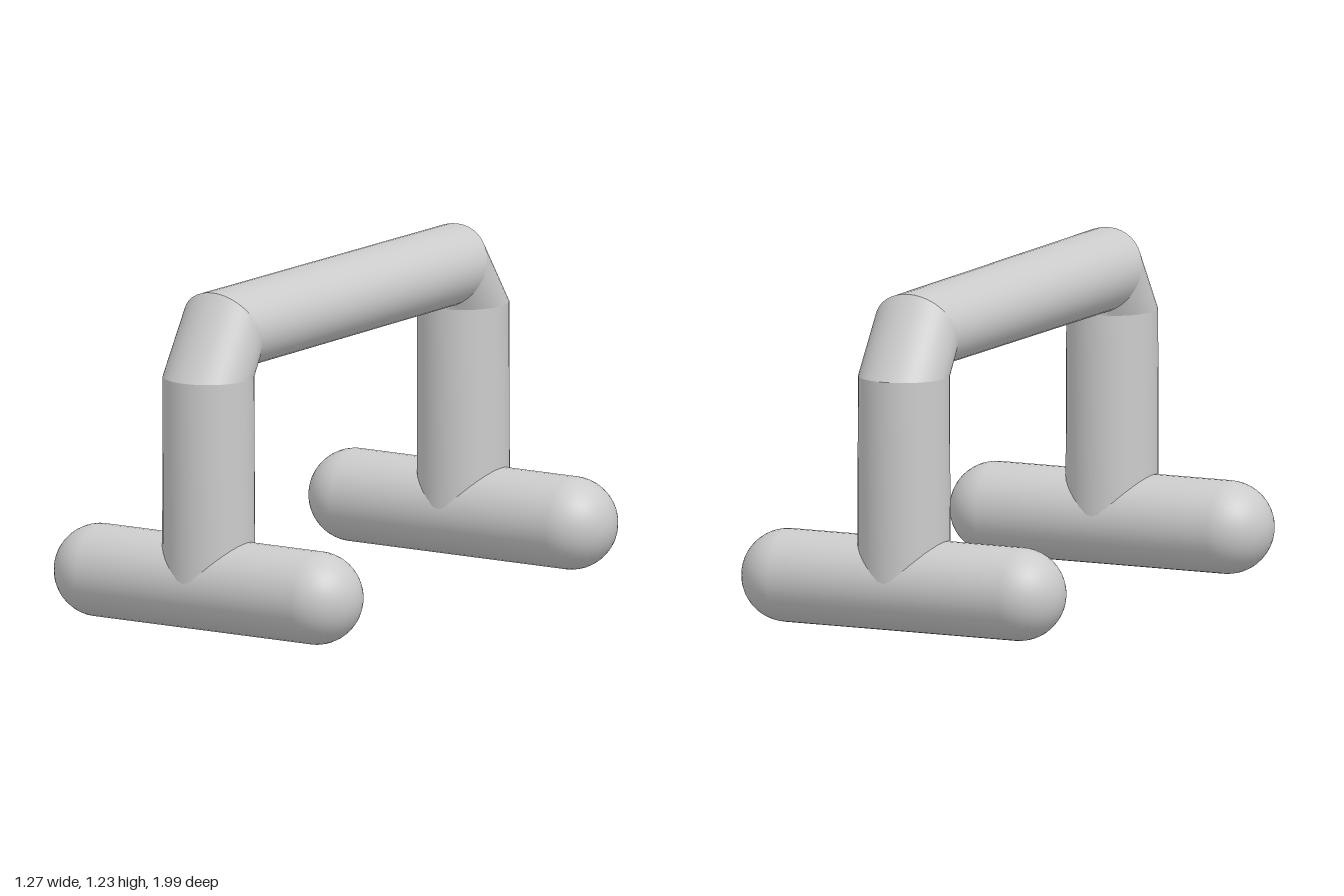
import * as THREE from 'three';

const material = new THREE.MeshStandardMaterial({ color: 0xcccccc });
const SIDES = 40;

// Elliptical ring in a plane containing x; a and b are its [y, z] extremes
function ring(a, b, halfWidth) {
  const points = [];
  for (let i = 0; i < SIDES; i++) {
    const t = (i / SIDES) * Math.PI * 2;
    const k = (1 - Math.cos(t)) / 2;
    points.push(halfWidth * Math.sin(t), a[0] + (b[0] - a[0]) * k, a[1] + (b[1] - a[1]) * k);
  }
  return points;
}

// Smooth wall between two rings; separate walls keep the mitre edges crisp
function wall(name, from, to) {
  const index = [];
  for (let i = 0; i < SIDES; i++) {
    const j = (i + 1) % SIDES;
    index.push(i, j, SIDES + i, j, SIDES + j, SIDES + i);
  }
  const geometry = new THREE.BufferGeometry();
  geometry.setAttribute('position', new THREE.Float32BufferAttribute([...from, ...to], 3));
  geometry.setIndex(index);
  geometry.computeVertexNormals();
  const mesh = new THREE.Mesh(geometry, material);
  mesh.name = name;
  return mesh;
}

export function createModel() {
  const model = new THREE.Group();
  model.name = 'pushUpBar';

  // Handle: leg, chamfered elbow, grip, elbow, leg; each ring runs outer edge to inner edge
  const rings = [
    ring([0.18, 0.994], [0.18, 0.66], 0.168),
    ring([0.935, 0.994], [0.935, 0.662], 0.165),
    ring([1.236, 0.8], [0.94, 0.664], 0.165),
    ring([1.226, -0.79], [0.94, -0.66], 0.165),
    ring([0.935, -0.994], [0.935, -0.658], 0.165),
    ring([0.18, -0.994], [0.18, -0.66], 0.168),
  ];
  const handle = new THREE.Group();
  handle.name = 'handle';
  ['frontLeg', 'frontElbow', 'grip', 'backElbow', 'backLeg'].forEach((name, i) => {
    handle.add(wall(name, rings[i], rings[i + 1]));
  });
  model.add(handle);

  // Rounded feet lying across the ends
  const footGeometry = new THREE.CapsuleGeometry(0.169, 0.934, 12, 40).rotateZ(Math.PI / 2);
  for (const side of [1, -1]) {
    const foot = new THREE.Mesh(footGeometry, material);
    foot.name = side > 0 ? 'frontFoot' : 'backFoot';
    foot.position.set(0, 0.173, side * 0.827);
    model.add(foot);
  }
  return model;
}
